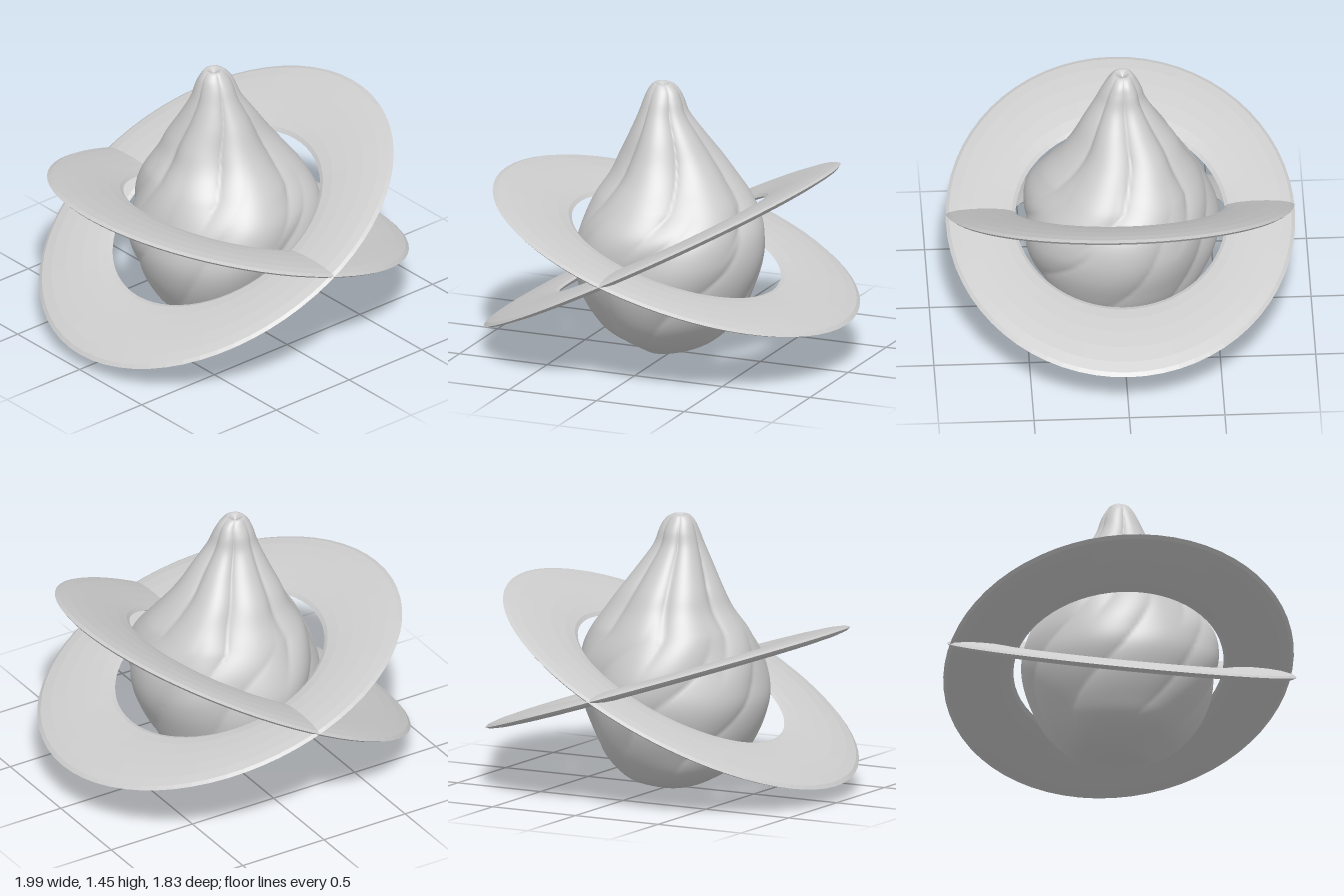
import * as THREE from 'three';

const material = new THREE.MeshStandardMaterial({ color: 0xcccccc });

// Body outline: height, left and right edge (x), back and front edge (z)
const rows = [
  [0.0, -0.04, -0.04, -0.03, -0.03],
  [0.01, -0.13, 0.06, -0.13, 0.11],
  [0.05, -0.23, 0.18, -0.25, 0.2],
  [0.12, -0.34, 0.28, -0.33, 0.31],
  [0.22, -0.41, 0.365, -0.4, 0.4],
  [0.35, -0.475, 0.425, -0.46, 0.47],
  [0.48, -0.51, 0.47, -0.495, 0.51],
  [0.6, -0.5, 0.485, -0.495, 0.515],
  [0.72, -0.465, 0.465, -0.465, 0.485],
  [0.84, -0.41, 0.4, -0.41, 0.4],
  [0.96, -0.33, 0.31, -0.335, 0.3],
  [1.06, -0.285, 0.235, -0.28, 0.235],
  [1.18, -0.23, 0.15, -0.2, 0.18],
  [1.29, -0.185, 0.075, -0.135, 0.125],
  [1.37, -0.16, 0.045, -0.11, 0.09],
  [1.42, -0.14, 0.02, -0.085, 0.06],
  [1.452, -0.11, -0.02, -0.06, 0.03],
  [1.44, -0.08, -0.05, -0.03, 0.0],
  [1.425, -0.065, -0.065, -0.015, -0.015],
];

// Rounded wave with narrow valleys, like gathered cloth
const fold = (a) => Math.pow(Math.abs(Math.sin(a / 2)), 0.7) * 2 - 1.35;

function bodyGeometry(around = 144, up = 130) {
  const centre = new THREE.CatmullRomCurve3(
    rows.map(([y, l, r, b, f]) => new THREE.Vector3((l + r) / 2, y, (b + f) / 2)), false, 'catmullrom', 0.5);
  const radius = new THREE.CatmullRomCurve3(
    rows.map(([, l, r, b, f]) => new THREE.Vector3((r - l) / 2, 0, (f - b) / 2)), false, 'catmullrom', 0.5);
  const positions = [], indices = [];
  for (let j = 0; j <= up; j++) {
    const c = centre.getPoint(j / up), s = radius.getPoint(j / up);
    const y = c.y;
    // Folds swirl over the belly and run almost straight up the neck
    const twist = 1.7 * Math.min(y, 0.85) + 0.35 * Math.max(0, y - 0.85);
    const neck = THREE.MathUtils.smoothstep(y, 0.55, 1.1);
    const tip = 1 - 0.4 * THREE.MathUtils.smoothstep(y, 1.25, 1.45);
    const belly = THREE.MathUtils.smoothstep(y, 0.0, 0.3) * (1 - neck);
    for (let i = 0; i < around; i++) {
      const a = (i / around) * Math.PI * 2, t = a - twist;
      const swell = 0.018 * Math.sin(3 * t + 0.8) + 0.014 * Math.sin(5 * t + 2 + 2 * y);
      const k = 1 + swell
        + belly * 0.022 * fold(7 * t + 0.9 * Math.sin(2 * a + 4 * y))
        + neck * tip * 0.085 * fold(6 * t + 0.8 * Math.sin(a + 3 * y));
      positions.push(c.x + s.x * k * Math.sin(a), y, c.z + s.z * k * Math.cos(a));
      if (j < up) {
        const p = j * around + i, q = j * around + (i + 1) % around;
        indices.push(p, q, q + around, p, q + around, p + around);
      }
    }
  }
  const g = new THREE.BufferGeometry();
  g.setAttribute('position', new THREE.Float32BufferAttribute(positions, 3));
  g.setIndex(indices);
  g.computeVertexNormals();
  return g;
}

// Flat oval band with a lens-shaped section, sharp at both rims
function ringGeometry(outerX, innerX, outerZ, innerZ) {
  const sides = 14, steps = 64;
  const g = new THREE.TorusGeometry(2, 1, sides, steps);
  g.rotateX(-Math.PI / 2);
  const p = g.attributes.position;
  for (let i = 0; i < p.count; i++) {
    const x = p.getX(i), z = p.getZ(i), r = Math.hypot(x, z);
    const w = (r - 1) / 2; // 0 on the inner rim, 1 on the outer rim
    p.setXYZ(i,
      (x / r) * THREE.MathUtils.lerp(innerX, outerX, w),
      p.getY(i) * 0.028,
      (z / r) * THREE.MathUtils.lerp(innerZ, outerZ, w));
  }
  g.computeVertexNormals();
  return g;
}

export function createModel() {
  const model = new THREE.Group();
  model.name = 'ringedBulb';

  const body = new THREE.Mesh(bodyGeometry(), material);
  body.name = 'foldedBody';
  model.add(body);

  // Two crossing rings tilted in opposite directions
  const ringMaterial = material.clone();
  ringMaterial.flatShading = true;
  const rings = [
    ['steepRing', -0.06, 0.572, 27.3, 1.055, 0.605],
    ['shallowRing', 0.02, 0.574, -18, 1.02, 0.575],
  ];
  for (const [name, x, y, tilt, outer, inner] of rings) {
    const ring = new THREE.Mesh(ringGeometry(outer, inner, 0.915, 0.55), ringMaterial);
    ring.name = name;
    ring.position.set(x, y, 0);
    ring.rotation.z = THREE.MathUtils.degToRad(tilt);
    model.add(ring);
  }
  return model;
}
